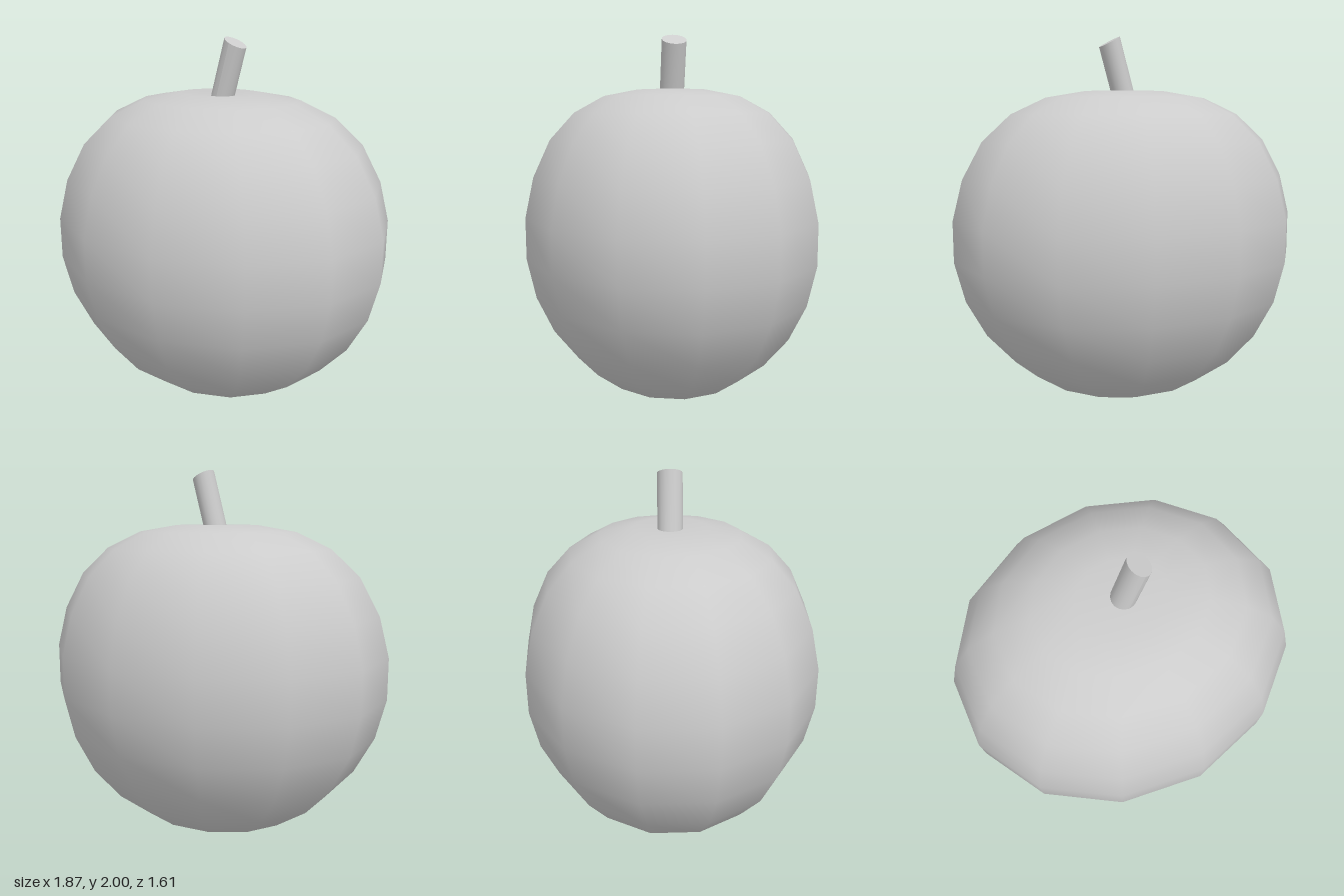
import * as THREE from 'three';
import { mergeVertices } from 'three/addons/utils/BufferGeometryUtils.js';

const SIDES = 13;

// Squashed 13-sided sphere whose top is pressed down towards the stem
function createFruit(material) {
  let geometry = new THREE.SphereGeometry(1, SIDES, SIDES, Math.PI);
  geometry.deleteAttribute('uv');
  geometry.deleteAttribute('normal');
  geometry = mergeVertices(geometry, 1e-4);

  const p = geometry.attributes.position;
  for (let i = 0; i < p.count; i++) {
    const x = p.getX(i), y = p.getY(i), z = p.getZ(i);
    const dip = y > 0 ? 0.19 * Math.max(0, 0.79 - Math.hypot(x, z)) : 0;
    p.setXYZ(i, 0.954 * x - 0.014, 0.92 + 0.92 * y - dip, 0.815 * z);
  }
  geometry.computeVertexNormals();

  const fruit = new THREE.Mesh(geometry, material);
  fruit.name = 'fruit';
  return fruit;
}

// Short leaning stem with a slanted cut at its top
function createStem(material) {
  const geometry = new THREE.CylinderGeometry(1, 1, 1, 16);
  const p = geometry.attributes.position;
  for (let i = 0; i < p.count; i++) {
    const x = p.getX(i), t = p.getY(i) + 0.5, z = p.getZ(i);
    p.setXYZ(
      i,
      -0.027 + 0.102 * t + 0.055 * x,
      1.6 + 0.371 * t - 0.029 * x,
      0.067 * z
    );
  }
  // Keep the cap edges sharp while the side stays smooth
  geometry.computeVertexNormals();

  const stem = new THREE.Mesh(geometry, material);
  stem.name = 'stem';
  return stem;
}

export function createModel() {
  const material = new THREE.MeshStandardMaterial({ color: 0xcccccc });
  const model = new THREE.Group();
  model.name = 'apple';
  model.add(createFruit(material), createStem(material));
  return model;
}
